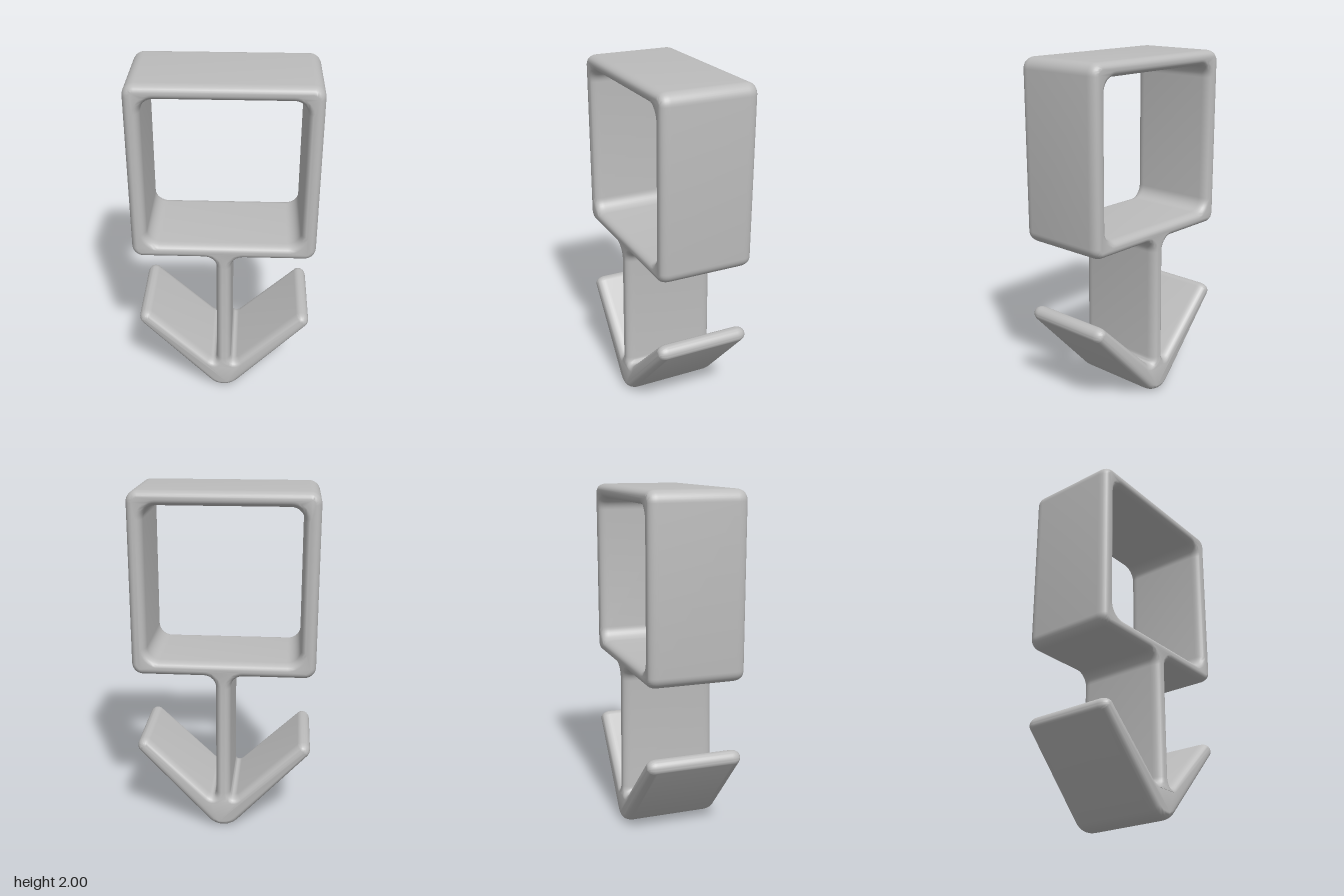
import * as THREE from 'three';
import { toCreasedNormals } from 'three/addons/utils/BufferGeometryUtils.js';

// Closed outline through [x, y, trim] corners, each rounded over its trim length
function rounded(target, corners) {
  const n = corners.length;
  const toward = (a, b, d) => {
    const l = Math.hypot(b[0] - a[0], b[1] - a[1]);
    return [a[0] + (b[0] - a[0]) * d / l, a[1] + (b[1] - a[1]) * d / l];
  };
  corners.forEach((c, i) => {
    const prev = corners[(i + n - 1) % n], next = corners[(i + 1) % n], t = c[2];
    const start = toward(c, prev, t), end = toward(c, next, t);
    if (i === 0) target.moveTo(...start);
    else target.lineTo(...start);
    target.bezierCurveTo(...toward(c, prev, t * 0.45), ...toward(c, next, t * 0.45), ...end);
  });
  target.closePath();
  return target;
}

export function createModel() {
  const group = new THREE.Group();
  group.name = 'arrowFrameStand';
  const grey = new THREE.MeshStandardMaterial({ color: 0xbcbcbc });
  grey.name = 'grey';

  // Right half of the outline, from the arrow point up to the frame top
  const half = [
    [0.524, 0.504, 0.042], [0.464, 0.566, 0.042],  // arm tip
    [0.043, 0.163, 0.065],                         // notch between arm and stem
    [0.043, 0.957, 0.07],                          // stem meets frame
    [0.524, 0.957, 0.065], [0.524, 2, 0.065],      // frame corners
  ];
  const mirrored = half.map(([x, y, t]) => [-x, y, t]).reverse();
  const outline = rounded(new THREE.Shape(), [[0, -0.053, 0.13], ...half, ...mirrored]);

  // Square opening of the frame
  outline.holes.push(rounded(new THREE.Path(), [
    [-0.435, 1.04, 0.075], [-0.435, 1.918, 0.075], [0.435, 1.918, 0.075], [0.435, 1.04, 0.075],
  ]));

  // Deep band with softly rounded rims
  const depth = 0.555, rim = 0.055;
  const geometry = new THREE.ExtrudeGeometry(outline, {
    depth: depth - 2 * rim, curveSegments: 9,
    bevelEnabled: true, bevelThickness: rim, bevelSize: 0.035, bevelOffset: -0.035, bevelSegments: 6,
  });
  geometry.translate(0, 0, rim - depth / 2);

  // Slight swelling where the arms and stem join
  const p = geometry.attributes.position;
  for (let i = 0; i < p.count; i++) {
    const d2 = p.getX(i) ** 2 + (p.getY(i) - 0.1) ** 2;
    p.setZ(i, p.getZ(i) * (1 + 0.06 * Math.exp(-d2 / 0.015)));
  }

  const body = new THREE.Mesh(toCreasedNormals(geometry, 0.7), grey);
  body.name = 'frameStemAndArrow';
  group.add(body);
  return group;
}
